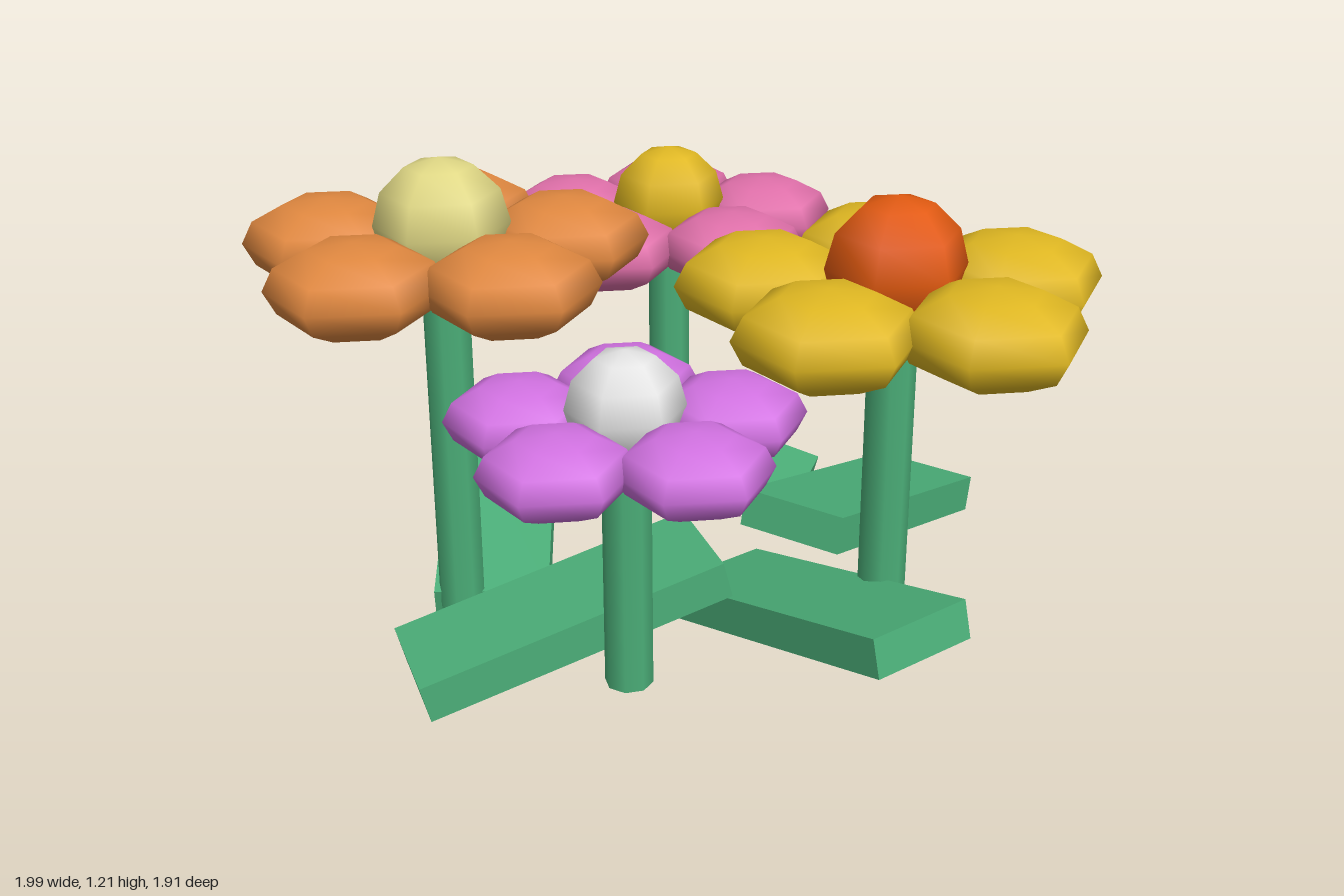
import * as THREE from 'three';

const mat = (name, color) => {
  const m = new THREE.MeshStandardMaterial({ color });
  m.name = name;
  return m;
};

export function createModel() {
  const green = mat('leaf green', 0x4bae78);
  const pink = mat('pink', 0xe070aa);
  const gold = mat('gold', 0xe0b822);
  const orange = mat('orange', 0xe08840);
  const violet = mat('violet', 0xd272e2);
  const red = mat('red orange', 0xe25a10);
  const cream = mat('cream', 0xe0d885);
  const white = mat('white', 0xe4e4e4);

  const model = new THREE.Group();
  model.name = 'flowerPatch';

  const add = (parent, name, geometry, material, x, y, z) => {
    const mesh = new THREE.Mesh(geometry, material);
    mesh.name = name;
    mesh.position.set(x, y, z);
    parent.add(mesh);
    return mesh;
  };

  // Flower: straight stem, five flattened six-sided petals, ball centre
  const ball = new THREE.SphereGeometry(1, 6, 6);
  const flower = (name, x, z, y, s, petalMat, centreMat) => {
    const g = new THREE.Group();
    g.name = name;
    g.position.set(x, 0, z);
    const base = 0.05;
    const stem = new THREE.CylinderGeometry(0.057, 0.057, y - base, 8);
    add(g, 'stem', stem, green, 0, (y + base) / 2, 0);
    for (let i = 0; i < 5; i++) {
      const a = (i / 5) * Math.PI * 2;
      const d = 0.276 * s;
      add(g, 'petal', ball, petalMat, Math.cos(a) * d, y, Math.sin(a) * d)
        .scale.set(0.192 * s, 0.101 * s, 0.192 * s);
    }
    add(g, 'flowerCentre', ball, centreMat, 0, y + 0.065 * s, 0).scale.setScalar(0.151 * s);
    model.add(g);
  };
  flower('pinkFlower', -0.58, -0.39, 0.79, 1.0, pink, gold);
  flower('goldFlower', 0.475, -0.232, 0.923, 1.1, gold, red);
  flower('orangeFlower', -0.257, 0.508, 0.983, 1.05, orange, cream);
  flower('violetFlower', 0.285, 0.385, 0.69, 0.9, violet, white);

  // Five slanted slab leaves in a ring, each turned against its ring angle
  const slab = new THREE.BoxGeometry(0.762, 0.095, 0.285);
  for (let i = 0; i < 5; i++) {
    const a = (i / 5) * Math.PI * 2;
    add(model, 'leaf', slab, green, -0.094 + Math.cos(a) * 0.51, 0.141, -0.065 + Math.sin(a) * 0.51)
      .rotation.set(0, a, 0.25, 'YXZ');
  }
  return model;
}
